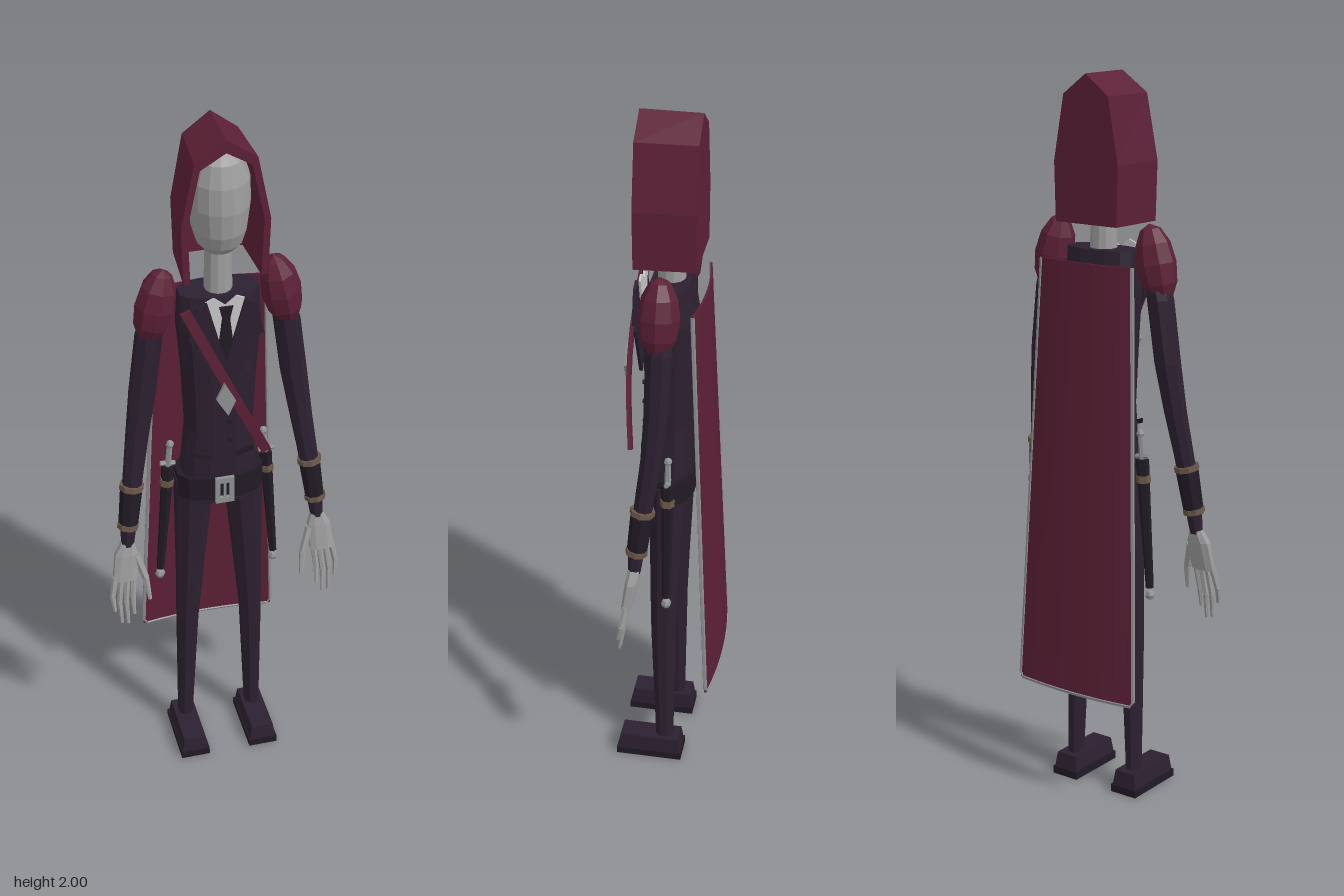
import * as THREE from 'three';

const mat = (name, color) => {
  const m = new THREE.MeshStandardMaterial({ color });
  m.name = name;
  return m;
};

export function createModel() {
  const root = new THREE.Group();
  root.name = 'hoodedFigure';
  const maroon = mat('maroon cloth', 0x5c2036);
  const suit = mat('dark suit', 0x2c2030);
  const black = mat('black leather', 0x211a25);
  const skin = mat('pale grey skin', 0x9d9d9d);
  const white = mat('shirt white', 0xc6c6c8);
  const silver = mat('silver trim', 0x8f9092);
  const bronze = mat('bronze', 0x6a5848);

  // Adds a faceted mesh
  function add(name, geo, material, parent = root) {
    const g = geo.index ? geo.toNonIndexed() : geo;
    g.computeVertexNormals();
    const mesh = new THREE.Mesh(g, material);
    mesh.name = name;
    parent.add(mesh);
    return mesh;
  }

  // Closed body through rings [x, y, z, rx, rz], listed from top to bottom; power squares the ring
  function loft(rings, n = 8, power = 1) {
    const pos = [], idx = [];
    const bend = v => Math.sign(v) * Math.abs(v) ** power;
    for (const [x, y, z, rx, rz] of rings)
      for (let i = 0; i < n; i++) {
        const a = ((i + 0.5) / n) * Math.PI * 2;
        pos.push(x + rx * bend(Math.sin(a)), y, z + rz * bend(Math.cos(a)));
      }
    for (let r = 0; r < rings.length - 1; r++)
      for (let i = 0; i < n; i++) {
        const a = r * n + i, b = r * n + (i + 1) % n;
        idx.push(a, a + n, b, b, a + n, b + n);
      }
    const last = (rings.length - 1) * n;
    for (let i = 1; i < n - 1; i++) idx.push(0, i, i + 1, last, last + i + 1, last + i);
    const g = new THREE.BufferGeometry();
    g.setAttribute('position', new THREE.Float32BufferAttribute(pos, 3));
    g.setIndex(idx);
    return g;
  }

  // Flat outline in x, y given a depth from z
  function plate(points, z, depth) {
    const shape = new THREE.Shape(points.map(p => new THREE.Vector2(...p)));
    return new THREE.ExtrudeGeometry(shape, { depth, bevelEnabled: false }).translate(0, 0, z);
  }

  // Tapered rod between two points
  function rod(a, b, ra, rb, n = 6) {
    const A = new THREE.Vector3(...a), B = new THREE.Vector3(...b);
    const d = B.clone().sub(A);
    const q = new THREE.Quaternion().setFromUnitVectors(new THREE.Vector3(0, 1, 0), d.clone().normalize());
    const mid = A.add(B).multiplyScalar(0.5);
    return new THREE.CylinderGeometry(rb, ra, d.length(), n).applyQuaternion(q).translate(mid.x, mid.y, mid.z);
  }

  // Moves every vertex by a rule
  function warp(geo, rule) {
    const p = geo.attributes.position, v = new THREE.Vector3();
    for (let i = 0; i < p.count; i++) {
      rule(v.fromBufferAttribute(p, i));
      p.setXYZ(i, v.x, v.y, v.z);
    }
    return geo;
  }

  // Hood: open-bottomed arch, narrower at the closed back
  const outer = [[-0.11, 1.61], [-0.115, 1.77], [-0.08, 1.945], [0, 2], [0.08, 1.945], [0.115, 1.77], [0.11, 1.61]];
  const inner = [[0.092, 1.61], [0.098, 1.77], [0.066, 1.925], [0, 1.965], [-0.066, 1.925], [-0.098, 1.77], [-0.092, 1.61]];
  const taper = v => { v.x *= 0.9 + 0.1 * (v.z + 0.078) / 0.16; };
  add('hood', warp(plate([...outer, ...inner], -0.078, 0.16), taper), maroon);
  add('hoodBack', warp(plate(outer, -0.08, 0.01), taper), maroon);

  // Head and neck
  add('head', loft([
    [0, 1.945, 0.01, 0.035, 0.04], [0, 1.925, 0.01, 0.06, 0.068], [0, 1.87, 0.01, 0.077, 0.085],
    [0, 1.8, 0.01, 0.079, 0.09], [0, 1.73, 0.01, 0.071, 0.082], [0, 1.69, 0.01, 0.06, 0.066],
    [0, 1.665, 0.01, 0.04, 0.042]], 16), skin);
  add('neck', loft([[0, 1.68, 0, 0.035, 0.035], [0, 1.53, 0, 0.037, 0.037]], 12), skin);

  // Jacket body
  add('jacket', loft([
    [0, 1.54, 0, 0.108, 0.052], [0, 1.44, 0, 0.112, 0.068], [0, 1.3, 0.002, 0.1, 0.07],
    [0, 1.12, 0.002, 0.092, 0.064], [0, 0.97, 0, 0.106, 0.062], [0, 0.88, 0, 0.112, 0.06]], 12, 0.75), suit);
  add('shirtFront', plate([[-0.052, 1.545], [-0.03, 1.555], [0, 1.53], [0.03, 1.555], [0.052, 1.545], [0, 1.36]], 0.073, 0.006), white);
  add('tie', plate([[-0.018, 1.53], [0.018, 1.53], [0.01, 1.495], [0.021, 1.4], [0, 1.355], [-0.021, 1.4], [-0.01, 1.495]], 0.081, 0.006), black);
  for (const y of [1.22, 1.16, 1.1])
    add('jacketButton', new THREE.CylinderGeometry(0.006, 0.006, 0.008, 8).rotateX(Math.PI / 2).translate(0.014, y, 0.074), black);

  // Belt and buckle
  add('belt', loft([[0, 0.972, 0, 0.122, 0.07], [0, 0.9, 0, 0.122, 0.07]], 12, 0.75), black);
  const buckle = new THREE.Shape([[-0.026, 0.895], [0.026, 0.895], [0.026, 0.978], [-0.026, 0.978]].map(p => new THREE.Vector2(...p)));
  buckle.holes.push(new THREE.Path([[-0.013, 0.912], [-0.013, 0.961], [0.013, 0.961], [0.013, 0.912]].map(p => new THREE.Vector2(...p))));
  add('buckle', new THREE.ExtrudeGeometry(buckle, { depth: 0.01, bevelEnabled: false }).translate(0, 0, 0.071), silver);
  add('bucklePin', new THREE.BoxGeometry(0.007, 0.055, 0.006).translate(0, 0.936, 0.076), silver);

  // Sash across the chest, bowed forward, with a diamond clasp
  const sash = warp(new THREE.BoxGeometry(0.027, 0.52, 0.01, 1, 8, 1), v => {
    v.z += 0.094 + 0.02 * Math.cos(v.y / 0.26 * Math.PI / 2);
  });
  add('sash', sash.rotateZ(0.434).translate(0, 1.3, 0), maroon);
  add('clasp', plate([[-0.036, 1.275], [-0.014, 1.322], [0.016, 1.265], [-0.004, 1.22]], 0.119, 0.009), silver);

  // Cape: flared sheet, bowed toward the wearer at its edges
  const capePoint = (u, v) => new THREE.Vector3(u * (0.148 + 0.046 * v), 1.51 - 1.195 * v, -0.094 - 0.051 * v + 0.016 * u * u);
  add('cape', warp(new THREE.BoxGeometry(2, 1, 0.006, 8, 4, 1), p => {
    const z = p.z;
    p.copy(capePoint(p.x, 0.5 - p.y));
    p.z += z;
  }), maroon);
  const hem = [];
  for (let i = 0; i <= 6; i++) hem.push(capePoint(-1, i / 6));
  for (let i = 1; i < 8; i++) hem.push(capePoint(-1 + i / 4, 1));
  for (let i = 6; i >= 0; i--) hem.push(capePoint(1, i / 6));
  const trim = new THREE.CurvePath();
  for (let i = 1; i < hem.length; i++) trim.add(new THREE.LineCurve3(hem[i - 1], hem[i]));
  add('capeTrim', new THREE.TubeGeometry(trim, 120, 0.006, 5), silver);

  for (const s of [1, -1]) {
    const side = new THREE.Group();
    side.name = s > 0 ? 'leftSide' : 'rightSide';
    root.add(side);
    const part = (name, geo, m) => add(name, geo, m, side);
    const flip = rings => rings.map(([x, ...r]) => [s * x, ...r]);
    const bar = (a, b, ra, rb, n) => rod([s * a[0], a[1], a[2]], [s * b[0], b[1], b[2]], ra, rb, n);
    const panel = (pts, z, d) => plate(pts.map(([x, y]) => [s * x, y]), z, d);

    // Lapel and pocket flap
    part('lapel', panel([[0.05, 1.548], [0.078, 1.535], [0.1, 1.44], [0.07, 1.43], [0.078, 1.41], [0.008, 1.25], [0, 1.25], [0, 1.36]], 0.08, 0.008), suit);
    part('pocketFlap', panel([[0.035, 1.04], [0.08, 1.055], [0.08, 1.068], [0.035, 1.052]], 0.064, 0.007), black);

    // Arm, cuff and shoulder guard
    part('arm', loft(flip([
      [0.155, 1.54, 0, 0.034, 0.036], [0.185, 1.42, 0, 0.037, 0.037], [0.207, 1.25, 0.004, 0.037, 0.034],
      [0.226, 1.12, 0.014, 0.032, 0.03], [0.244, 1, 0.03, 0.028, 0.027], [0.258, 0.9, 0.042, 0.026, 0.025],
      [0.265, 0.84, 0.05, 0.022, 0.022], [0.271, 0.78, 0.055, 0.018, 0.018]])), suit);
    part('bracer', bar([0.25, 0.965, 0.035], [0.266, 0.84, 0.049], 0.031, 0.027, 8), black);
    part('upperBand', bar([0.249, 0.972, 0.034], [0.251, 0.957, 0.036], 0.034, 0.034, 8), bronze);
    part('lowerBand', bar([0.265, 0.852, 0.048], [0.267, 0.837, 0.05], 0.03, 0.03, 8), bronze);
    part('shoulderGuard', new THREE.SphereGeometry(1, 8, 6).scale(0.054, 0.108, 0.055).rotateZ(s * 0.22)
      .translate(s * 0.168, 1.51, 0.004), maroon);

    // Hand with four fingers and a thumb
    part('palm', loft(flip([
      [0.271, 0.79, 0.055, 0.018, 0.016], [0.276, 0.755, 0.06, 0.034, 0.018],
      [0.284, 0.675, 0.073, 0.036, 0.015]]), 8, 0.8), skin);
    for (let i = 0; i < 4; i++) {
      const x = 0.26 + i * 0.017, drop = [0, 0.03, 0.025, -0.02][i];
      const knuckle = [x + 0.006 + i * 0.002, 0.615 - drop / 2, 0.084];
      part('finger', bar([x, 0.685, 0.073], knuckle, 0.0095, 0.008), skin);
      part('fingertip', bar(knuckle, [x + 0.005 + i * 0.001, 0.56 - drop, 0.094], 0.008, 0.005), skin);
    }
    part('thumb', bar([0.249, 0.745, 0.062], [0.226, 0.67, 0.08], 0.012, 0.01), skin);
    part('thumbTip', bar([0.226, 0.67, 0.08], [0.219, 0.605, 0.094], 0.01, 0.006), skin);

    // Leg
    part('leg', loft(flip([
      [0.066, 0.95, 0, 0.06, 0.055], [0.073, 0.85, 0, 0.052, 0.05], [0.085, 0.6, 0.006, 0.039, 0.042],
      [0.093, 0.45, 0.008, 0.032, 0.037], [0.102, 0.06, 0.005, 0.022, 0.026]])), suit);

    // Shoe: wide sole under a bevelled upper
    part('sole', new THREE.BoxGeometry(0.084, 0.022, 0.19).translate(s * 0.103, 0.011, 0.046), black);
    part('shoe', warp(new THREE.BoxGeometry(0.076, 0.044, 0.182), v => {
      if (v.y > 0) { v.x *= 0.84; v.z *= 0.94; }
    }).translate(s * 0.103, 0.043, 0.046), suit);

    // Sheathed dagger at the hip
    part('sheath', bar([0.138, 0.98, -0.012], [0.165, 0.62, -0.012], 0.018, 0.011), black);
    part('daggerGrip', bar([0.132, 1.045, -0.012], [0.138, 0.98, -0.012], 0.008, 0.009), silver);
    part('daggerPommel', new THREE.SphereGeometry(0.012, 6, 4).translate(s * 0.131, 1.05, -0.012), silver);
    part('daggerGuard', bar([0.118, 0.985, -0.012], [0.16, 0.99, -0.012], 0.007, 0.007), silver);
    part('sheathBand', bar([0.141, 0.935, -0.012], [0.143, 0.915, -0.012], 0.02, 0.02), bronze);
    part('sheathTip', new THREE.SphereGeometry(0.015, 6, 4).translate(s * 0.166, 0.6, -0.012), silver);
  }
  return root;
}
